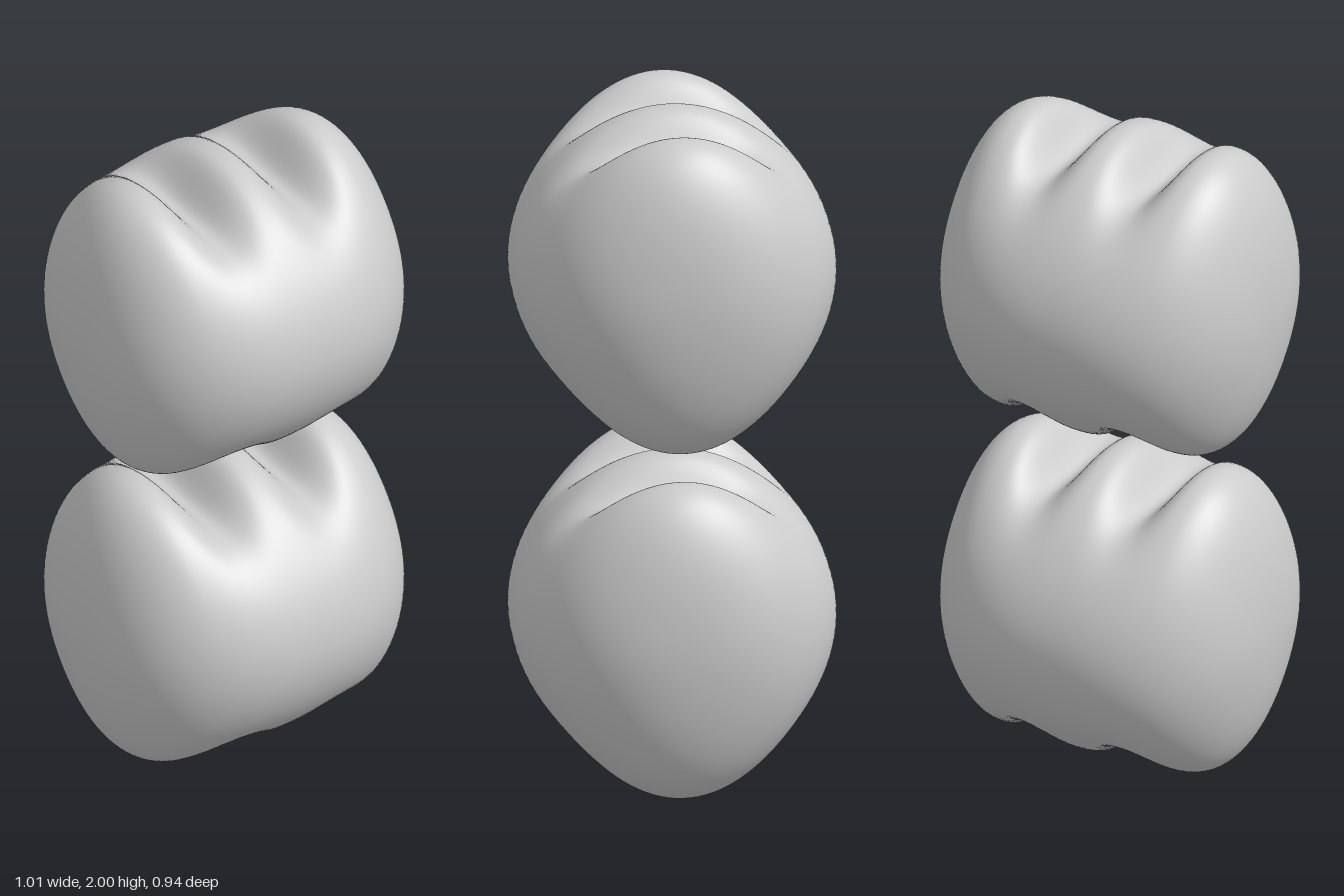
import * as THREE from 'three';
import { mergeVertices } from 'three/addons/utils/BufferGeometryUtils.js';

const HALF_LENGTH = 0.503, HALF_HEIGHT = 0.476, HALF_DEPTH = 0.47;
const LOBE_X = 0.3, GROOVE_X = 0.15, GROOVE_DEPTH = 0.122;

// Half height along x: level across the middle, elliptical past the outer lobes
function heightAt(x) {
  const t = Math.max(0, Math.abs(x) - LOBE_X) / (HALF_LENGTH - LOBE_X);
  return HALF_HEIGHT * Math.sqrt(Math.max(0, 1 - t * t));
}

// Half depth along x: a slightly squared oval
function depthAt(x) {
  const t = Math.min(1, Math.abs(x) / HALF_LENGTH);
  return HALF_DEPTH * Math.pow(1 - Math.pow(t, 2.4), 1 / 2.4);
}

// Depth of the valley between neighbouring lobes
function grooveAt(x) {
  const d = Math.min(1, Math.abs(Math.abs(x) - GROOVE_X) / GROOVE_X);
  return GROOVE_DEPTH * Math.pow(0.5 + 0.5 * Math.cos(Math.PI * d), 1.4);
}

// Closed loft of cross-sections running along x
function lobedBodyGeometry(rings = 128, sides = 112) {
  const positions = [], index = [];
  for (let i = 0; i <= rings; i++) {
    const x = HALF_LENGTH * Math.sin(Math.PI * (i / rings - 0.5));
    const end = i === 0 || i === rings;
    const h = end ? 0 : heightAt(x), w = end ? 0 : depthAt(x), groove = end ? 0 : grooveAt(x);
    for (let j = 0; j < sides; j++) {
      const a = (j / sides) * Math.PI * 2;
      const s = Math.sin(a), c = Math.cos(a);
      // flatten the diagonals a little; grooves fade out towards front and back
      const k = 1 - 0.035 * Math.sin(2 * a) ** 2;
      const y = s * (h * k - groove * Math.abs(s) ** 5);
      positions.push(x, y, c * w * k);
    }
  }
  for (let i = 0; i < rings; i++) {
    for (let j = 0; j < sides; j++) {
      const n = (j + 1) % sides;
      const a = i * sides + j, b = a + sides, d = i * sides + n, e = d + sides;
      if (i < rings - 1) index.push(b, e, d);
      if (i > 0) index.push(a, b, d);
      else if (i === 0) continue;
    }
  }
  const geometry = new THREE.BufferGeometry();
  geometry.setAttribute('position', new THREE.Float32BufferAttribute(positions, 3));
  geometry.setIndex(index);
  const merged = mergeVertices(geometry, 1e-5);
  merged.computeVertexNormals();
  return merged;
}

export function createModel() {
  const group = new THREE.Group();
  group.name = 'stackedLobedBodies';
  const material = new THREE.MeshStandardMaterial({ color: 0xcccccc });
  const geometry = lobedBodyGeometry();

  // Two identical bodies, one floating just above the other
  for (const [name, y] of [['lowerBody', HALF_HEIGHT], ['upperBody', 2 - HALF_HEIGHT]]) {
    const body = new THREE.Mesh(geometry, material);
    body.name = name;
    body.position.y = y;
    group.add(body);
  }
  return group;
}
